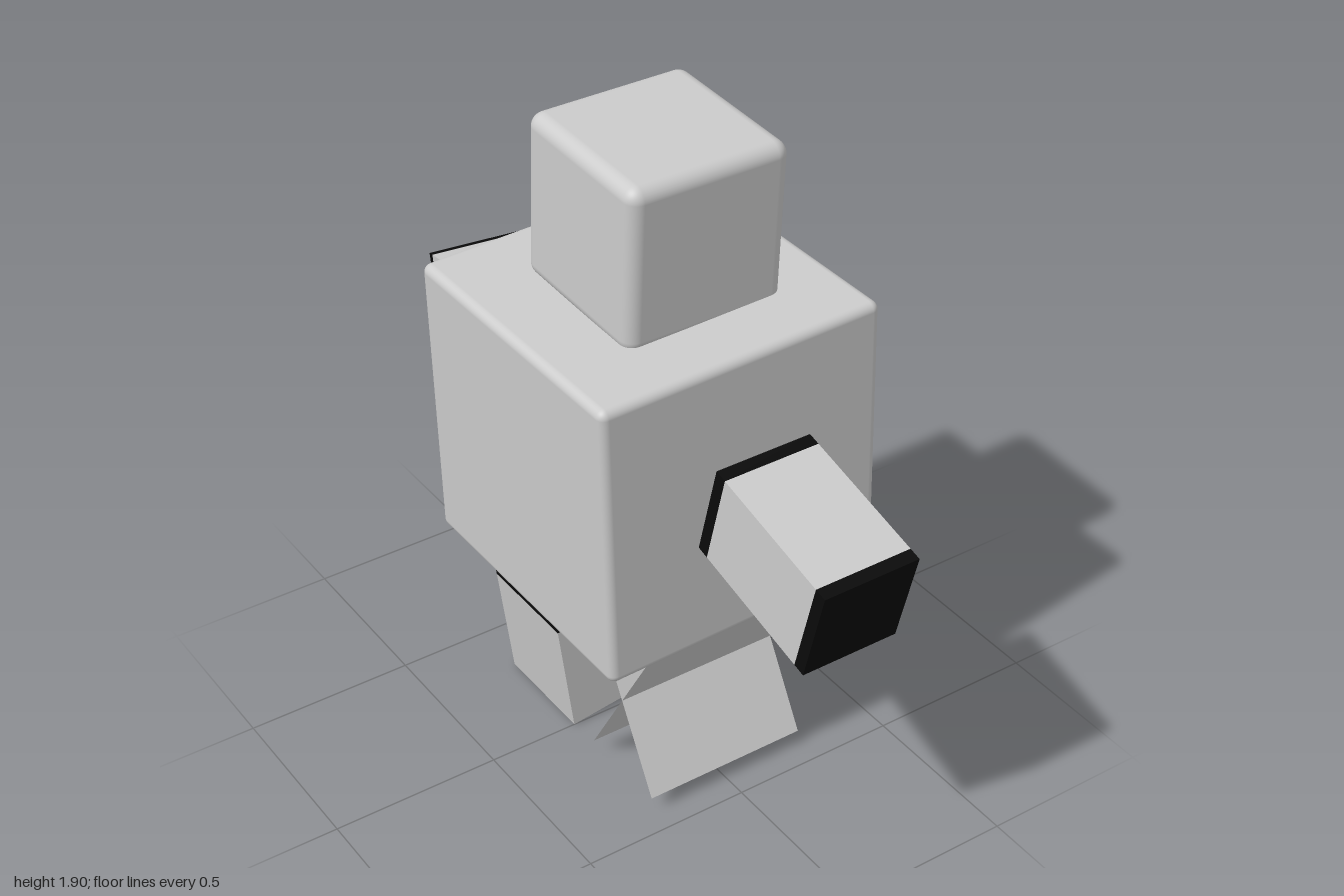
import * as THREE from 'three';
import { RoundedBoxGeometry } from 'three/addons/geometries/RoundedBoxGeometry.js';

const grey = new THREE.MeshStandardMaterial({ color: 0xcccccc });
const sheet = new THREE.MeshStandardMaterial({ color: 0xcccccc, side: THREE.DoubleSide });
const black = new THREE.MeshStandardMaterial({ color: 0x0a0a0a });
const red = new THREE.MeshStandardMaterial({ color: 0x7a1010, side: THREE.DoubleSide });

function add(parent, name, geometry, material, x = 0, y = 0, z = 0) {
  const mesh = new THREE.Mesh(geometry, material);
  mesh.name = name;
  mesh.position.set(x, y, z);
  parent.add(mesh);
  return mesh;
}

function group(parent, name, x, y, z) {
  const g = new THREE.Group();
  g.name = name;
  g.position.set(x, y, z);
  parent.add(g);
  return g;
}

// Square arm along local z, made of a sleeve between two black cuffs
function arm(parent, name, z, length, inner, outer) {
  const g = group(parent, name, 0, 0.985, z);
  const s = Math.sign(z), w = 0.29;
  const cuff = (t) => new THREE.BoxGeometry(w, w, t);
  add(g, 'sleeve', cuff(length - inner - outer), grey, 0, 0, s * (inner - outer) / 2);
  if (inner) add(g, 'shoulderCuff', cuff(inner), black, 0, 0, -s * (length - inner) / 2);
  add(g, 'wristCuff', cuff(outer), black, 0, 0, s * (length - outer) / 2);
  g.rotation.order = 'YXZ';
  g.rotation.x = s * 0.245;
  return g;
}

function eye(parent, x) {
  const g = group(parent, 'eye', x, 0.09, 0.235);
  // Rounded square frame with an opening
  const h = 0.055, r = 0.02;
  const s = new THREE.Shape();
  s.moveTo(-h + r, -h);
  s.lineTo(h - r, -h); s.quadraticCurveTo(h, -h, h, -h + r);
  s.lineTo(h, h - r); s.quadraticCurveTo(h, h, h - r, h);
  s.lineTo(-h + r, h); s.quadraticCurveTo(-h, h, -h, h - r);
  s.lineTo(-h, -h + r); s.quadraticCurveTo(-h, -h, -h + r, -h);
  s.holes.push(new THREE.Path().absarc(0, 0, 0.038, 0, Math.PI * 2, true));
  add(g, 'eyeFrame', new THREE.ExtrudeGeometry(s, {
    depth: 0.02, bevelSize: 0.004, bevelThickness: 0.006, bevelSegments: 2, bevelOffset: -0.004,
  }), grey);
  // Domed eyeball tapering to a pointed pupil
  const ball = add(g, 'eyeball', new THREE.CylinderGeometry(0.024, 0.042, 0.05, 16), grey, 0, 0, 0.025);
  ball.rotation.x = Math.PI / 2;
  const star = new THREE.Shape();
  for (let i = 0; i < 10; i++) {
    const a = i * Math.PI / 5 + Math.PI / 2, q = i % 2 ? 0.012 : 0.028;
    star[i ? 'lineTo' : 'moveTo'](Math.cos(a) * q, Math.sin(a) * q);
  }
  add(g, 'pupil', new THREE.ExtrudeGeometry(star, { depth: 0.015, bevelEnabled: false }), grey, 0, 0, 0.05);
  add(g, 'pupilCentre', new THREE.CircleGeometry(0.009, 12), black, 0, 0, 0.066);
}

// One half of the mouth, a thin crescent with a wavy upper edge
function lip(parent, x, y) {
  const s = new THREE.Shape();
  s.moveTo(-0.088, 0.018);
  s.quadraticCurveTo(0, -0.055, 0.088, 0.012);
  s.lineTo(0.07, 0.024);
  s.quadraticCurveTo(0.03, -0.004, 0, 0.006);
  s.quadraticCurveTo(-0.04, 0.02, -0.088, 0.018);
  add(parent, 'lip', new THREE.ShapeGeometry(s), red, x, y, 0.247);
}

export function createModel() {
  const model = new THREE.Group();
  model.name = 'blockRobot';

  // Body
  const body = add(model, 'body', new RoundedBoxGeometry(0.855, 0.86, 0.86, 4, 0.025), grey, 0, 1.003, 0.05);
  body.rotation.z = 0.03;

  // Head, with its face towards +x
  const head = group(model, 'head', 0.005, 1.65, 0.06);
  head.rotation.x = 0.045;
  add(head, 'skull', new RoundedBoxGeometry(0.48, 0.48, 0.48, 5, 0.04), grey);
  const face = group(head, 'face', 0, 0, 0);
  face.rotation.y = Math.PI / 2;
  for (const side of [-1, 1]) eye(face, side * 0.108);
  const nose = add(face, 'nose', new THREE.ConeGeometry(0.02, 0.11, 8), grey, 0.01, -0.05, 0.255);
  nose.scale.set(0.8, 1, 2);
  nose.rotation.x = Math.PI;
  lip(face, -0.09, -0.187);
  lip(face, 0.112, -0.182);

  // Arms
  arm(model, 'frontArm', 0.74, 0.463, 0.037, 0.037);
  const backArm = arm(model, 'backArm', -0.64, 0.5, 0, 0.022);
  backArm.rotation.y = -0.13;
  const tab = add(model, 'wristTab', new THREE.PlaneGeometry(0.03, 0.15), sheet, 0, 0.935, -0.925);
  tab.rotation.x = -Math.PI / 2;

  // Back leg with a black band at the hip
  const leg = group(model, 'backLeg', -0.005, 0.298, -0.163);
  leg.rotation.z = 0.135;
  add(leg, 'shin', new THREE.BoxGeometry(0.525, 0.36, 0.325), grey, 0, -0.0875, 0);
  add(leg, 'hipBand', new THREE.BoxGeometry(0.525, 0.175, 0.325), black, 0, 0.18, 0);

  // Front leg of two crossed sheets
  const crossed = group(model, 'frontLeg', 0, 0.295, 0.28);
  for (const side of [-1, 1]) {
    add(crossed, 'legSheet', new THREE.PlaneGeometry(0.5, 0.575), sheet).rotation.x = side * 0.525;
  }
  return model;
}
